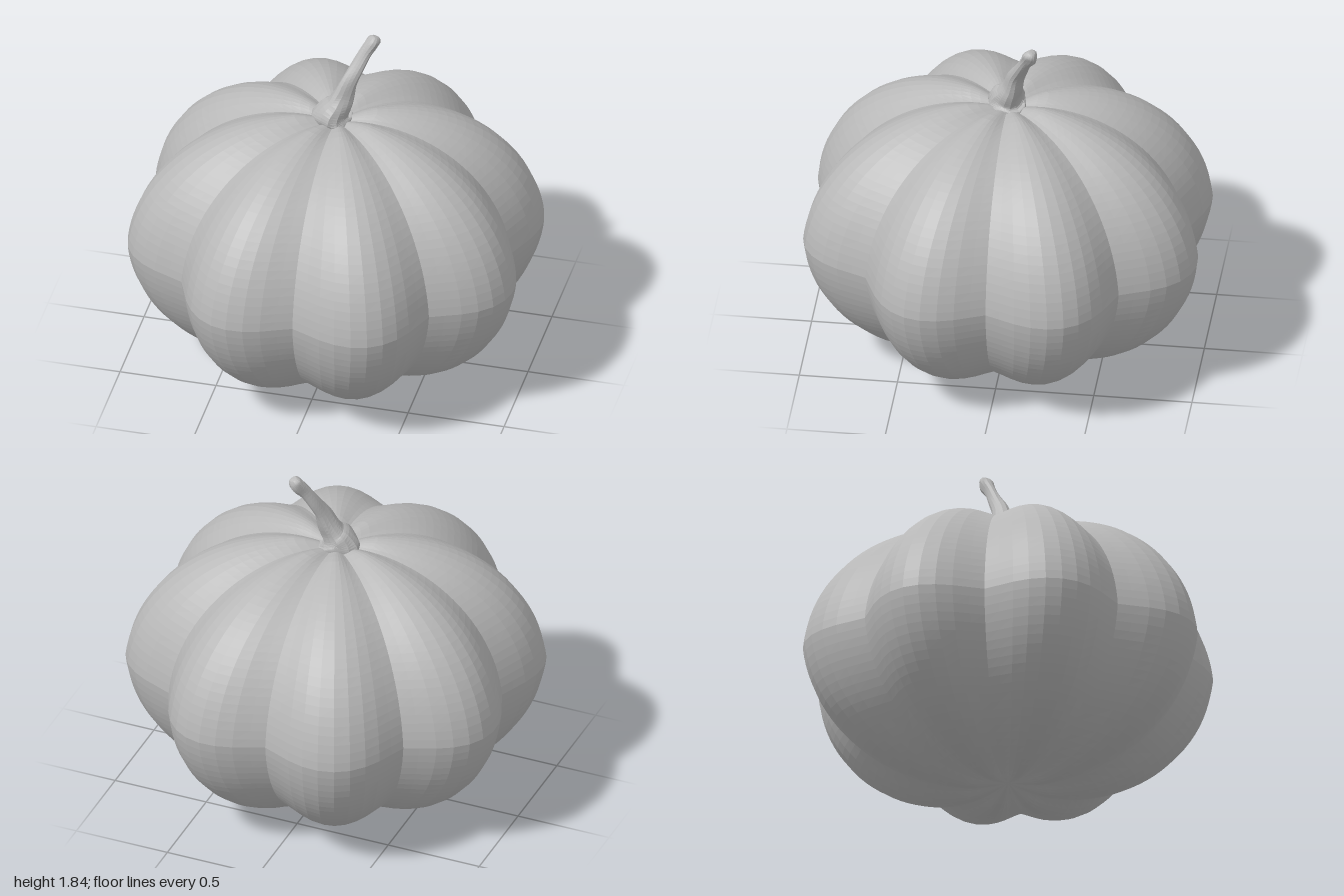
import * as THREE from 'three';

// Closed-around surface from rows (bottom to top) of points around the axis
function loft(rows, cols, point) {
  const pos = [], idx = [];
  for (let i = 0; i <= rows; i++) {
    for (let j = 0; j < cols; j++) {
      const p = point(i, (j / cols) * Math.PI * 2);
      pos.push(p.x, p.y, p.z);
    }
  }
  for (let i = 0; i < rows; i++) {
    for (let j = 0; j < cols; j++) {
      const a = i * cols + j, b = i * cols + (j + 1) % cols;
      const c = b + cols, d = a + cols;
      if (i > 0) idx.push(a, b, c);
      if (i < rows - 1 || i === 0) idx.push(a, c, d);
    }
  }
  const g = new THREE.BufferGeometry();
  g.setAttribute('position', new THREE.Float32BufferAttribute(pos, 3));
  g.setIndex(idx);
  g.computeVertexNormals();
  return g;
}

// Eight-lobed body: sharp creases every 45 degrees, slight ridge at the equator
function bodyGeometry() {
  const half = 28, lobes = 8, perLobe = 10;
  const phi0 = THREE.MathUtils.degToRad(5);
  const phi1 = Math.acos(-0.18 / 0.82 * Math.cos(phi0));
  const s0 = Math.sin(phi0);
  return loft(half * 2, lobes * perLobe, (i, angle) => {
    const k = i - half, side = Math.sign(k);
    const phi = phi0 + (phi1 - phi0) * Math.abs(k) / half;
    const reach = Math.max(0, 0.18 + 0.82 * Math.cos(phi) / Math.cos(phi0));
    const bulge = Math.pow(Math.abs(Math.sin(angle * lobes / 2)), 1.3);
    const r = (0.912 + 0.152 * bulge) * reach;
    const height = 0.68 + 0.033 * bulge * Math.min(1, reach / 0.18);
    const y = 0.713 + side * height * (Math.sin(phi) - s0) / (1 - s0);
    return new THREE.Vector3(Math.sin(angle) * r, y, Math.cos(angle) * r);
  });
}

// Bent stalk with a flared foot, twisting ridges and a knobbly tip
function stemGeometry() {
  // x, y, z, radius
  const stations = [
    [-0.02, 1.36, 0, 0.085], [-0.02, 1.40, 0, 0.1], [-0.013, 1.435, -0.002, 0.087],
    [0.008, 1.47, -0.012, 0.066], [0.03, 1.52, -0.028, 0.053], [0.058, 1.6, -0.045, 0.042],
    [0.09, 1.67, -0.075, 0.036], [0.125, 1.74, -0.105, 0.032], [0.152, 1.785, -0.128, 0.036],
    [0.167, 1.812, -0.138, 0.033], [0.174, 1.828, -0.143, 0.018], [0.175, 1.831, -0.144, 0],
  ];
  const path = new THREE.CatmullRomCurve3(stations.map(s => new THREE.Vector3(s[0], s[1], s[2])));
  const girth = new THREE.CatmullRomCurve3(stations.map((s, i) => new THREE.Vector3(s[3], i, 0)));
  const rows = 44, up = new THREE.Vector3(0, 1, 0);
  return loft(rows, 14, (i, angle) => {
    const t = i / rows;
    const turn = new THREE.Quaternion().setFromUnitVectors(up, path.getTangent(t));
    const ridge = 1 + 0.09 * Math.sin(3 * angle + 9 * t) + 0.05 * Math.sin(2 * angle - 23 * t);
    const r = Math.max(0, girth.getPoint(t).x) * ridge;
    return new THREE.Vector3(Math.sin(angle) * r, 0, Math.cos(angle) * r)
      .applyQuaternion(turn).add(path.getPoint(t));
  });
}

export function createModel() {
  const grey = new THREE.MeshStandardMaterial({ color: 0xb8b8b8 });
  grey.name = 'plain grey';
  grey.flatShading = true;

  const group = new THREE.Group();
  group.name = 'pumpkin';
  const body = new THREE.Mesh(bodyGeometry(), grey);
  body.name = 'lobedBody';
  const stem = new THREE.Mesh(stemGeometry(), grey);
  stem.name = 'stem';
  group.add(body, stem);
  return group;
}
